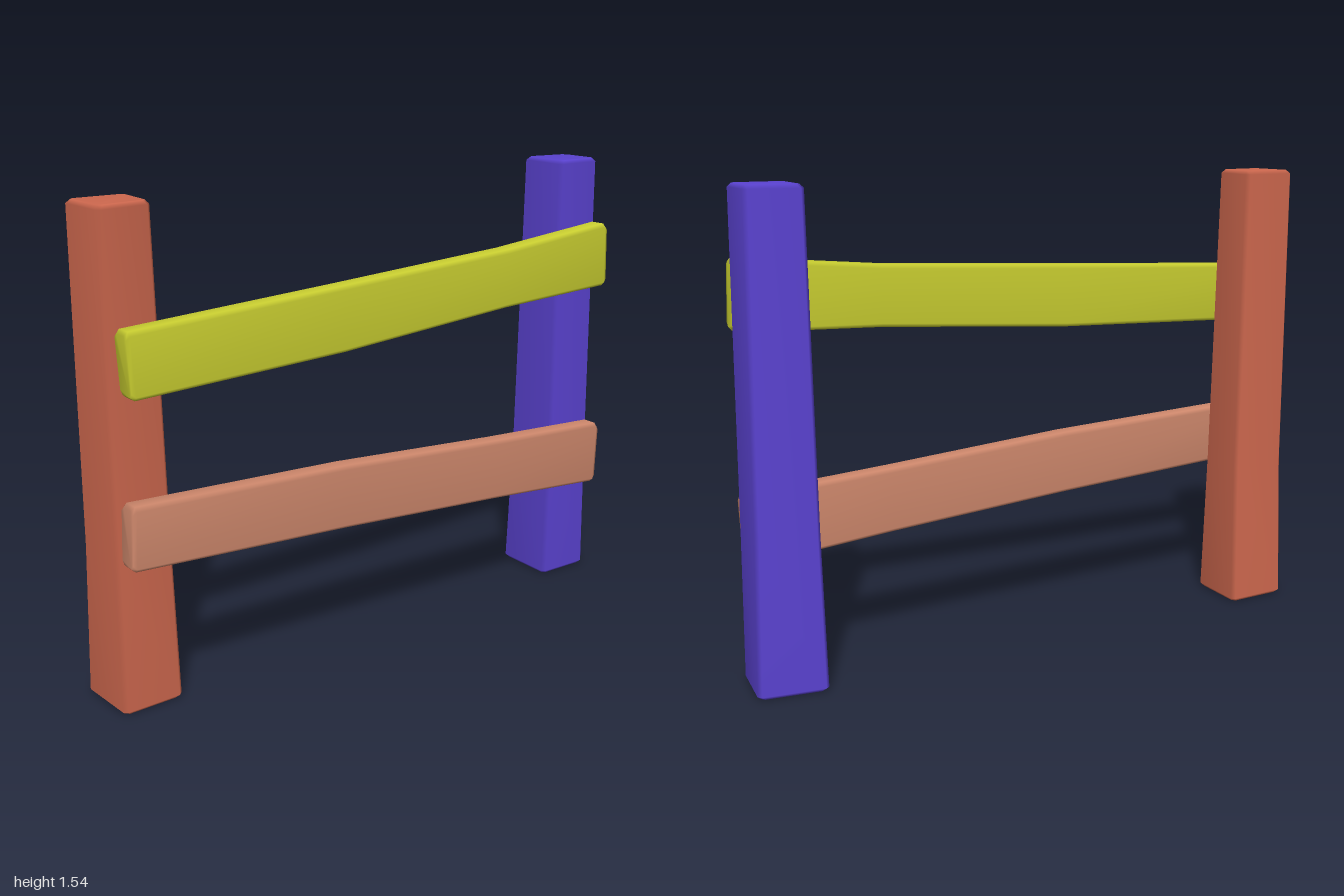
import * as THREE from 'three';

const BEVEL = 0.012;

// Bevelled beam lofted through four-cornered sections
// (corners run counter-clockwise when seen from the far end)
function beam(name, color, sections) {
  const rings = sections.map(s => s.map(p => new THREE.Vector3(...p)));
  const centre = r => r.reduce((s, p) => s.add(p), new THREE.Vector3()).multiplyScalar(0.25);
  const slide = (r, next) => r.map((p, i) =>
    p.clone().add(next[i].clone().sub(p).setLength(BEVEL)));
  const inset = r => r.map(p => p.clone().lerp(centre(r), 0.11));

  // Each end gets a smaller ring, so its rim is bevelled as well
  const last = rings.length - 1;
  const loops = [
    inset(rings[0]), slide(rings[0], rings[1]),
    ...rings.slice(1, last),
    slide(rings[last], rings[last - 1]), inset(rings[last]),
  ];

  const pos = [], index = [];
  for (const loop of loops) {
    loop.forEach((p, i) => {
      for (const q of [loop[(i + 3) % 4], loop[(i + 1) % 4]]) {
        const v = q.clone().sub(p).setLength(BEVEL).add(p);
        pos.push(v.x, v.y, v.z);
      }
    });
  }
  for (let k = 0; k < loops.length - 1; k++) {
    for (let j = 0; j < 8; j++) {
      const a = k * 8 + j, b = k * 8 + (j + 1) % 8;
      index.push(a, b, a + 8, b, b + 8, a + 8);
    }
  }
  // End caps
  const top = (loops.length - 1) * 8;
  for (let j = 1; j < 7; j++) {
    index.push(0, j + 1, j, top, top + j, top + j + 1);
  }

  const geo = new THREE.BufferGeometry();
  geo.setAttribute('position', new THREE.Float32BufferAttribute(pos, 3));
  geo.setIndex(index);
  geo.computeVertexNormals();
  const mesh = new THREE.Mesh(geo, new THREE.MeshStandardMaterial({ color }));
  mesh.name = name;
  return mesh;
}

// Post: levels of [y, four x/z corners]
const post = (name, color, levels) =>
  beam(name, color, levels.map(([y, ...c]) => c.map(([x, z]) => [x, y, z])));

// Rail: stations of [z at bottom, z at top, bottom y, top y, inner x, outer x]
const rail = (name, color, stations) =>
  beam(name, color, stations.map(([zb, zt, y0, y1, x0, x1]) =>
    [[x1, y0, zb], [x1, y1, zt], [x0, y1, zt], [x0, y0, zb]]));

export function createModel() {
  const group = new THREE.Group();
  group.name = 'fence';

  // Posts, flared below the lower rail
  group.add(post('frontPost', 0xd0694f, [
    [0, [0.075, 0.99], [0.07, 0.785], [-0.15, 0.775], [-0.145, 1.0]],
    [0.5, [0.07, 0.987], [0.058, 0.793], [-0.125, 0.787], [-0.125, 0.995]],
    [1.54, [0.067, 0.985], [0.045, 0.808], [-0.125, 0.798], [-0.13, 0.99]],
  ]));
  group.add(post('backPost', 0x5b43d2, [
    [0, [0.07, -0.77], [0.075, -0.975], [-0.125, -1.0], [-0.158, -0.78]],
    [0.5, [0.066, -0.782], [0.07, -0.972], [-0.115, -0.985], [-0.142, -0.787]],
    [1.54, [0.063, -0.788], [0.065, -0.968], [-0.1, -0.97], [-0.13, -0.797]],
  ]));

  // Slightly bent rails on the left side of the posts
  group.add(rail('upperRail', 0xcbd031, [
    [-0.962, -0.955, 1.095, 1.318, 0.063, 0.14],
    [-0.48, -0.48, 1.076, 1.273, 0.064, 0.143],
    [0.2, 0.2, 1.025, 1.235, 0.065, 0.142],
    [0.945, 0.957, 0.995, 1.196, 0.066, 0.14],
  ]));
  group.add(rail('lowerRail', 0xd0896d, [
    [-0.942, -0.952, 0.357, 0.582, 0.073, 0.147],
    [-0.45, -0.45, 0.398, 0.61, 0.072, 0.148],
    [0.2, 0.2, 0.443, 0.654, 0.069, 0.146],
    [0.97, 0.962, 0.484, 0.683, 0.067, 0.141],
  ]));
  return group;
}
